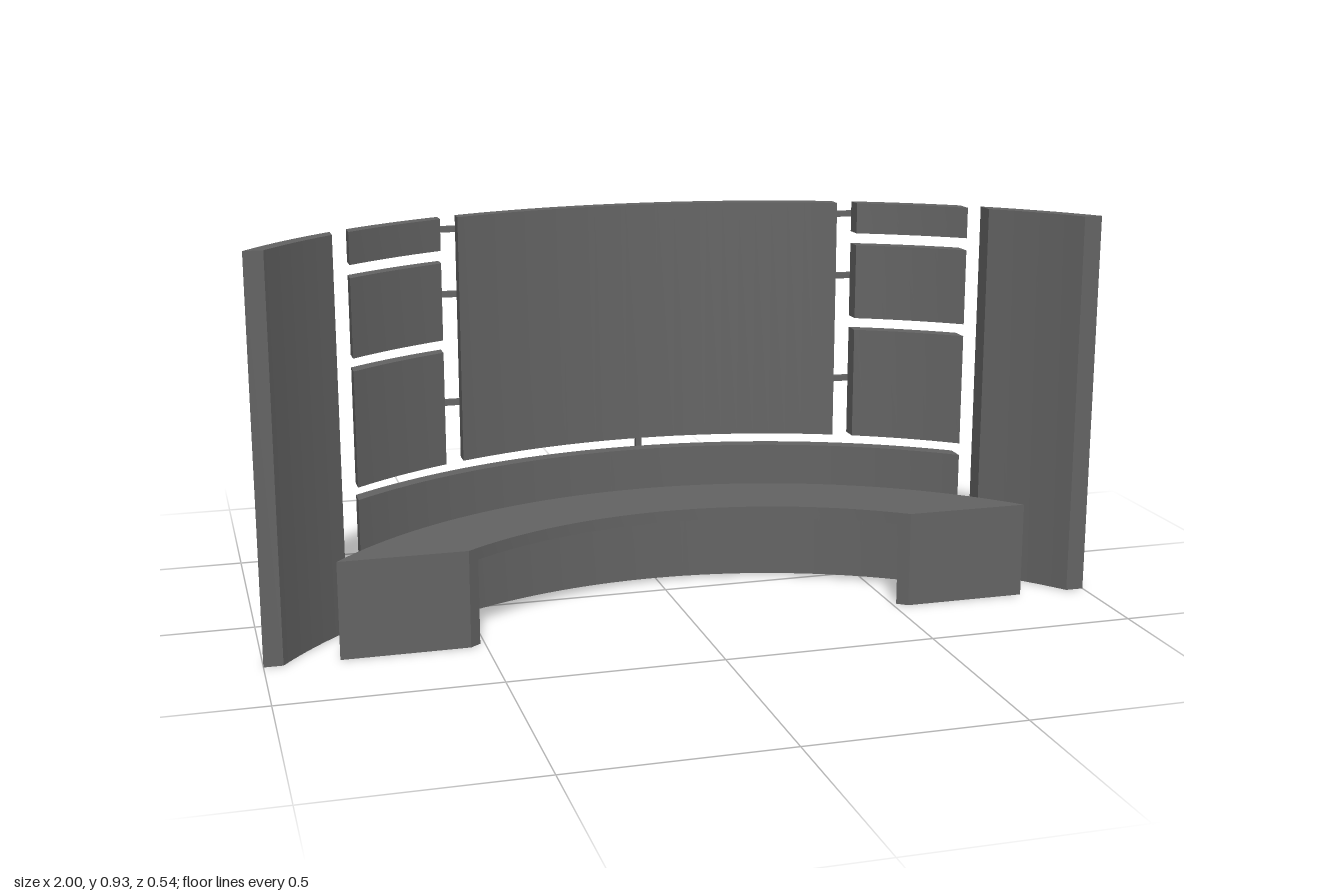
import * as THREE from 'three';
import { toCreasedNormals } from 'three/addons/utils/BufferGeometryUtils.js';

const CZ = 0.96;               // common centre of all arcs (x = 0)
const FRONT = 0.27;            // flat front cut of wings and bench
const WALL_IN = 1.179, WALL_OUT = 1.215;
const SEAT_IN = 0.873, SEAT_OUT = 1.08;

const zAt = (r, x) => CZ - Math.sqrt(r * r - x * x);
const xAt = (r, z) => Math.sqrt(r * r - (CZ - z) ** 2);

// points along an arc of radius r between two x positions, evenly by angle
function arc(r, x0, x1) {
  const a0 = Math.asin(x0 / r), a1 = Math.asin(x1 / r);
  const n = Math.max(3, Math.ceil(Math.abs(a1 - a0) / 0.035));
  return Array.from({ length: n + 1 }, (_, i) => {
    const a = a0 + (a1 - a0) * i / n;
    return new THREE.Vector2(r * Math.sin(a), r * Math.cos(a) - CZ);
  });
}

export function createModel() {
  const model = new THREE.Group();
  model.name = 'curvedWallWithBench';
  const material = new THREE.MeshStandardMaterial({ color: 0x636363 });

  const add = (name, geometry) => {
    const mesh = new THREE.Mesh(geometry, material);
    mesh.name = name;
    model.add(mesh);
    return mesh;
  };

  // curved slab: inner and outer arcs may end at different x
  function band(name, rIn, rOut, y0, y1, inner, outer) {
    const shape = new THREE.Shape([...arc(rOut, ...outer), ...arc(rIn, ...inner).reverse()]);
    const geo = new THREE.ExtrudeGeometry(shape, { depth: y1 - y0, bevelEnabled: false });
    geo.rotateX(-Math.PI / 2).translate(0, y0, 0);
    return add(name, toCreasedNormals(geo, 0.4));
  }
  const wall = (name, x0, x1, y0, y1) =>
    band(name, WALL_IN, WALL_OUT, y0, y1, [x0, x1], [x0, x1]);

  const box = (name, x0, x1, y0, y1, z0, z1) =>
    add(name, new THREE.BoxGeometry(x1 - x0, y1 - y0, z1 - z0))
      .position.set((x0 + x1) / 2, (y0 + y1) / 2, (z0 + z1) / 2);

  // back wall
  wall('lowerWall', -0.753, 0.753, 0, 0.305);
  wall('centrePanel', -0.477, 0.477, 0.335, 0.93);
  box('centreSupportBar', -0.007, 0.007, 0, 0.46, -0.27, -0.255);

  const tiles = [[0.335, 0.61], [0.64, 0.825], [0.855, 0.93]];
  const rodHeights = [0.467, 0.735, 0.893];
  for (const [s, side] of [[1, 'left'], [-1, 'right']]) {
    const span = (a, b) => (s > 0 ? [a, b] : [-b, -a]);

    // side wing, cut flat at the front
    band(side + 'Wing', WALL_IN, WALL_OUT, 0, 0.93,
      span(0.793, xAt(WALL_IN, FRONT)), span(0.793, xAt(WALL_OUT, FRONT)));

    // stacked tiles, each tied to the centre panel by an angled rod
    tiles.forEach(([y0, y1], i) => {
      wall(side + 'Tile' + (i + 1), ...span(0.522, 0.753), y0, y1);
      const y = rodHeights[i], h = 0.007;
      box(side + 'RodAcross' + (i + 1), ...span(0.38, 0.641), y - h, y + h, -0.194, -0.18);
      box(side + 'RodReturn' + (i + 1), ...span(0.627, 0.641), y - h, y + h,
        -0.18, zAt(WALL_OUT, 0.634) + 0.003);
    });
  }

  // hollow bench: seat, back board and two end boards
  const top = 0.23, under = 0.202, backIn = SEAT_OUT - 0.025, zEnd = FRONT - 0.018;
  const both = (r, z) => [-xAt(r, z), xAt(r, z)];
  band('benchSeat', SEAT_IN, SEAT_OUT, under, top, both(SEAT_IN, FRONT), both(SEAT_OUT, FRONT));
  band('benchBack', backIn, SEAT_OUT, 0, under, both(backIn, zEnd), both(SEAT_OUT, zEnd));
  for (const s of [1, -1]) {
    const shape = new THREE.Shape([
      [xAt(SEAT_IN, FRONT), FRONT], [xAt(SEAT_OUT, FRONT), FRONT],
      [xAt(SEAT_OUT, zEnd), zEnd], [xAt(SEAT_IN, zEnd), zEnd],
    ].map(([x, z]) => new THREE.Vector2(s * x, -z)));
    const geo = new THREE.ExtrudeGeometry(shape, { depth: under, bevelEnabled: false });
    add(s > 0 ? 'leftBenchEnd' : 'rightBenchEnd', geo.rotateX(-Math.PI / 2));
  }
  return model;
}
